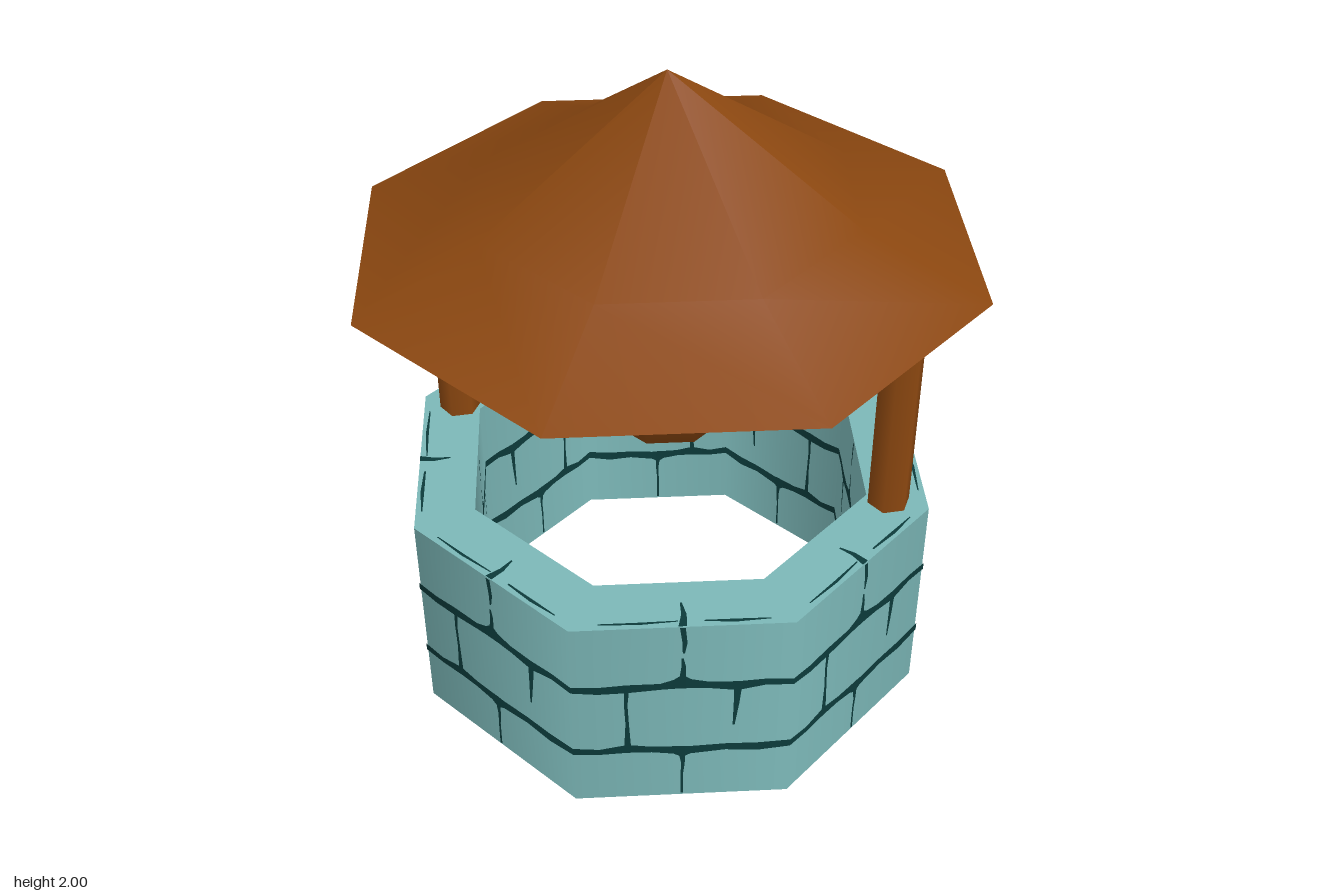
import * as THREE from 'three';

const SIDES = 8, OUTER = 0.82, INNER = 0.63, WALL_TOP = 0.7;

const wood = new THREE.MeshStandardMaterial({ color: 0x8b4710, side: THREE.DoubleSide });
wood.name = 'brownWood';
const stone = new THREE.MeshStandardMaterial({ color: 0x7cb8b8 });
stone.name = 'tealStone';
const mortar = new THREE.MeshStandardMaterial({ color: 0x0c3a3a });
mortar.name = 'darkMortar';

function add(parent, name, geometry, material, x = 0, y = 0, z = 0) {
  const mesh = new THREE.Mesh(geometry, material);
  mesh.name = name;
  mesh.position.set(x, y, z);
  parent.add(mesh);
  return mesh;
}

// Eight-sided surface of revolution from [radius, height] pairs
const lathe = (profile) =>
  new THREE.LatheGeometry(profile.map(([r, y]) => new THREE.Vector2(r, y)), SIDES);

// Mortar strokes on one facet: [u across the facet, height, half width]
const courses = [
  [[0, 0.47, 0.012], [0.12, 0.462, 0.014], [0.25, 0.466, 0.016], [0.4, 0.47, 0.012], [0.46, 0.478, 0.018],
    [0.5, 0.488, 0.028], [0.54, 0.478, 0.018], [0.62, 0.47, 0.013], [0.75, 0.462, 0.018], [0.88, 0.474, 0.012], [1, 0.47, 0.012]],
  [[0, 0.212, 0.013], [0.12, 0.205, 0.011], [0.25, 0.215, 0.017], [0.36, 0.208, 0.012], [0.46, 0.202, 0.016],
    [0.5, 0.194, 0.024], [0.54, 0.2, 0.016], [0.7, 0.208, 0.013], [0.85, 0.203, 0.016], [1, 0.212, 0.013]],
];
const joints = [
  [[0.5, 0.7, 0.008], [0.51, 0.64, 0.007], [0.505, 0.6, 0.003]],
  [[0.5, 0.58, 0.003], [0.505, 0.55, 0.006], [0.5, 0.5, 0.009]],
  [[0.25, 0.46, 0.007], [0.245, 0.4, 0.005], [0.25, 0.32, 0.005], [0.25, 0.22, 0.01]],
  [[0.75, 0.46, 0.011], [0.745, 0.39, 0.008], [0.735, 0.3, 0.003]],
  [[0.5, 0.19, 0.01], [0.505, 0.14, 0.005], [0.5, 0.1, 0.004], [0.5, 0.01, 0.004]],
];
const rimLines = [[[0.12, 0.8, 0.002], [0.3, 0.803, 0.005], [0.48, 0.798, 0.002]],
  [[0.6, 0.8, 0.003], [0.75, 0.803, 0.006], [0.9, 0.8, 0.002]]];
const rimJoints = [[[0.5, 0.82, 0.012], [0.51, 0.77, 0.008], [0.5, 0.72, 0.003]]];

// Thin painted strips laid on every facet; place(v) gives [radius, height]
function strokes(lines, across, place, facing) {
  const pos = [], nor = [], idx = [];
  for (let k = 0; k < SIDES; k++) {
    const corner = (i) => {
      const a = (i / SIDES) * Math.PI * 2;
      return new THREE.Vector3(Math.sin(a), 0, Math.cos(a));
    };
    const c0 = corner(k), c1 = corner(k + 1);
    const put = (u, v) => {
      const [r, y] = place(v);
      const dir = c0.clone().lerp(c1, u);
      pos.push(dir.x * r, y, dir.z * r);
      dir.normalize();
      if (facing === 'up') nor.push(0, 1, 0);
      else nor.push(dir.x * facing, 0, dir.z * facing);
    };
    for (const line of lines) {
      line.forEach(([u, v, h], i) => {
        const n = pos.length / 3;
        const du = across ? 0 : h / 0.63, dv = across ? h : 0;
        put(u - du, v - dv);
        put(u + du, v + dv);
        if (i === line.length - 1) return;
        if (facing === 1) idx.push(n, n + 2, n + 3, n, n + 3, n + 1);
        else idx.push(n, n + 3, n + 2, n, n + 1, n + 3);
      });
    }
  }
  const g = new THREE.BufferGeometry();
  g.setAttribute('position', new THREE.Float32BufferAttribute(pos, 3));
  g.setAttribute('normal', new THREE.Float32BufferAttribute(nor, 3));
  g.setIndex(idx);
  return g;
}

export function createModel() {
  const model = new THREE.Group();
  model.name = 'well';

  // Hollow stone wall, open top and bottom
  const wall = new THREE.Group();
  wall.name = 'stoneWall';
  model.add(wall);
  add(wall, 'outerWall', lathe([[OUTER, 0], [OUTER, WALL_TOP]]), stone);
  add(wall, 'rim', lathe([[OUTER, WALL_TOP], [INNER, WALL_TOP]]), stone);
  add(wall, 'innerWall', lathe([[INNER, WALL_TOP], [INNER, 0]]), stone);
  add(wall, 'wallBase', lathe([[INNER, 0], [OUTER, 0]]), stone);

  // Mortar between the stones
  const outside = (v) => [OUTER + 0.004, v], inside = (v) => [INNER - 0.004, v];
  const onRim = (v) => [v, WALL_TOP + 0.003];
  add(wall, 'outerCourses', strokes(courses, true, outside, 1), mortar);
  add(wall, 'outerJoints', strokes(joints, false, outside, 1), mortar);
  add(wall, 'innerCourses', strokes(courses, true, inside, -1), mortar);
  add(wall, 'innerJoints', strokes(joints, false, inside, -1), mortar);
  add(wall, 'rimLines', strokes(rimLines, true, onRim, 'up'), mortar);
  add(wall, 'rimJoints', strokes(rimJoints, false, onRim, 'up'), mortar);

  // Two six-sided posts and the crossbar between them
  for (const side of [1, -1]) {
    add(model, side > 0 ? 'leftPost' : 'rightPost',
      new THREE.CylinderGeometry(0.064, 0.064, 0.77, 6), wood, side * 0.697, 1.085, 0);
  }
  const bar = add(model, 'crossbar', new THREE.CylinderGeometry(0.058, 0.058, 1.27, 6), wood, -0.005, 1.28, 0);
  bar.rotation.z = Math.PI / 2;

  // Bucket with a closed bottom and a hollow inside
  add(model, 'bucket', lathe([[0, 0.87], [0.184, 0.87], [0.222, 1.12]]), wood);
  add(model, 'bucketInside', lathe([[0.222, 1.12], [0.2, 1.12], [0.168, 0.9], [0, 0.9]]), wood);

  // Flared roof, hollow beneath
  add(model, 'roof', lathe([[0.925, 1.46], [0.56, 1.615], [0, 2]]), wood);

  return model;
}
